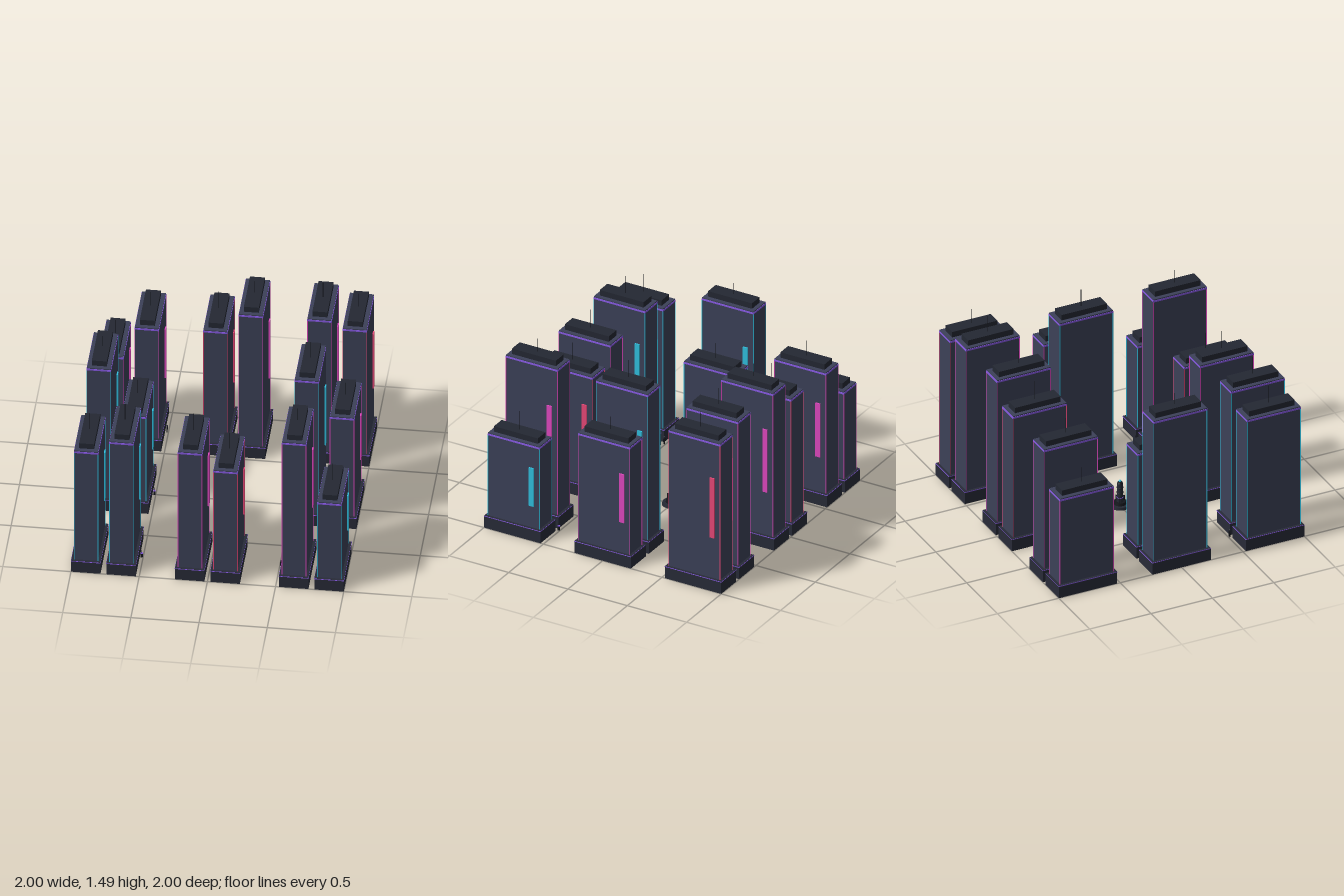
import * as THREE from 'three';

const mat = (color) => new THREE.MeshStandardMaterial({ color });
const wall = mat(0x3c4158), dark = mat(0x242833), base = mat(0x282b38), black = mat(0x14161c);
const purple = mat(0x8a5ce8), teal = mat(0x30c0e0), magenta = mat(0xe048c0), red = mat(0xe84878);

function add(parent, name, geometry, material, x = 0, y = 0, z = 0) {
  const mesh = new THREE.Mesh(geometry, material);
  mesh.name = name;
  mesh.position.set(x, y, z);
  parent.add(mesh);
  return mesh;
}

// box and cylinder placed by the height of their underside
const box = (p, name, m, w, h, d, x, y, z) =>
  add(p, name, new THREE.BoxGeometry(w, h, d), m, x, y + h / 2, z);
const cyl = (p, name, m, rTop, rBottom, h, x, y, z, sides = 16) =>
  add(p, name, new THREE.CylinderGeometry(rTop, rBottom, h, sides), m, x, y + h / 2, z);

function tower(x, z, h, mast, neon) {
  const g = new THREE.Group();
  g.name = 'tower';
  g.position.set(x, 0, z);
  const W = 0.175, D = 0.433;

  box(g, 'podium', base, 0.216, 0.1, 0.475, 0, 0, 0);
  box(g, 'podiumTrim', purple, 0.219, 0.005, 0.478, 0, 0.094, 0);
  box(g, 'towerBody', wall, W, h - 0.1, D, 0, 0.1, 0);
  box(g, 'crownBand', purple, W + 0.005, 0.014, D + 0.005, 0, h - 0.022, 0);

  // glowing strips on the four upright corners
  for (const sx of [-1, 1]) for (const sz of [-1, 1])
    box(g, 'cornerStrip', neon, 0.005, h - 0.122, 0.005, sx * W / 2, 0.1, sz * D / 2);

  // upright sign on the side wall
  box(g, 'sign', neon, 0.012, h * 0.402, 0.04, W / 2 + 0.004, h * 0.354, -0.152);

  box(g, 'roofPlant', dark, 0.11, 0.045, 0.37, 0, h, 0);
  cyl(g, 'roofMast', black, 0.0022, 0.0022, mast, 0, h + 0.045, 0, 6);
  return g;
}

// street kiosk with a lit top
function kiosk(x, z, turn) {
  const g = new THREE.Group();
  g.name = 'kiosk';
  box(g, 'kioskBody', black, 0.014, 0.034, 0.014, 0, 0, 0);
  box(g, 'kioskLight', purple, 0.016, 0.004, 0.016, 0, 0.034, 0);
  box(g, 'kioskPost', black, 0.003, 0.026, 0.003, 0, 0.038, 0);
  g.position.set(x, 0, z);
  g.rotation.y = turn;
  return g;
}

// small standing figure
function figure(x, z, turn) {
  const g = new THREE.Group();
  g.name = 'figure';
  for (const s of [-1, 1]) {
    box(g, 'leg', black, 0.005, 0.022, 0.006, s * 0.005, 0, 0);
    box(g, 'arm', black, 0.004, 0.02, 0.005, s * 0.011, 0.024, 0);
  }
  box(g, 'torso', black, 0.016, 0.026, 0.009, 0, 0.022, 0);
  add(g, 'head', new THREE.SphereGeometry(0.007, 10, 8), dark, 0, 0.057, 0);
  g.position.set(x, 0, z);
  g.rotation.y = turn;
  return g;
}

// beacon in the central square
function beacon() {
  const g = new THREE.Group();
  g.name = 'beacon';
  cyl(g, 'beaconBase', dark, 0.07, 0.074, 0.02, 0, 0, 0, 24);
  cyl(g, 'beaconStep', black, 0.042, 0.046, 0.02, 0, 0.02, 0, 24);
  cyl(g, 'beaconColumn', dark, 0.02, 0.025, 0.15, 0, 0.04, 0, 16);
  for (const [y, m] of [[0.075, purple], [0.115, black], [0.155, black]]) {
    const ring = add(g, 'beaconRing', new THREE.TorusGeometry(0.024, 0.003, 6, 20), m, 0, y, 0);
    ring.rotation.x = Math.PI / 2;
  }
  cyl(g, 'beaconCap', black, 0.016, 0.022, 0.012, 0, 0.19, 0, 16);
  add(g, 'beaconLamp', new THREE.SphereGeometry(0.01, 12, 8), teal, 0, 0.207, 0);
  // three fins around the column
  for (let i = 0; i < 3; i++) {
    const arm = new THREE.Group();
    box(arm, 'beaconFin', black, 0.022, 0.05, 0.005, 0.028, 0.03, 0);
    arm.rotation.y = i * Math.PI * 2 / 3 + Math.PI / 6;
    g.add(arm);
  }
  return g;
}

export function createModel() {
  const city = new THREE.Group();
  city.name = 'cityBlocks';

  // x, z, height, mast length, neon colour
  const towers = [
    [0.892, 0.762, 0.785, 0.15, teal], [0.633, 0.762, 1.307, 0.105, magenta],
    [0.13, 0.762, 1.005, 0.14, red], [-0.13, 0.762, 1.15, 0.145, magenta],
    [-0.633, 0.762, 1.197, 0.14, teal], [-0.892, 0.762, 1.09, 0.14, teal],
    [0.892, 0, 0.995, 0.105, magenta], [0.633, 0, 1.307, 0.14, teal],
    [-0.633, 0, 0.87, 0.12, teal], [-0.892, 0, 1.275, 0.09, teal],
    [0.892, -0.762, 1.228, 0.115, red], [0.633, -0.762, 1.292, 0.13, magenta],
    [0.13, -0.762, 1.288, 0.1, magenta], [-0.13, -0.762, 1.12, 0.15, red],
    [-0.633, -0.762, 1.1, 0.12, magenta], [-0.892, -0.762, 0.82, 0.12, magenta],
  ];
  for (const t of towers) city.add(tower(...t));

  // street furniture along the inner kerbs
  const Q = Math.PI / 2;
  const kiosks = [[-0.765, -0.51, 0], [0.51, -0.765, Q], [-0.51, 0, Q],
    [0, 0.51, 0], [0.76, 0.51, 0], [-0.51, 0.762, Q]];
  const figures = [[-0.51, -0.762, Q], [0, -0.51, 0], [0.76, -0.51, 0],
    [0.51, 0, Q], [-0.762, 0.51, 0], [0.51, 0.762, Q]];
  for (const k of kiosks) city.add(kiosk(...k));
  for (const f of figures) city.add(figure(...f));

  city.add(beacon());
  return city;
}
